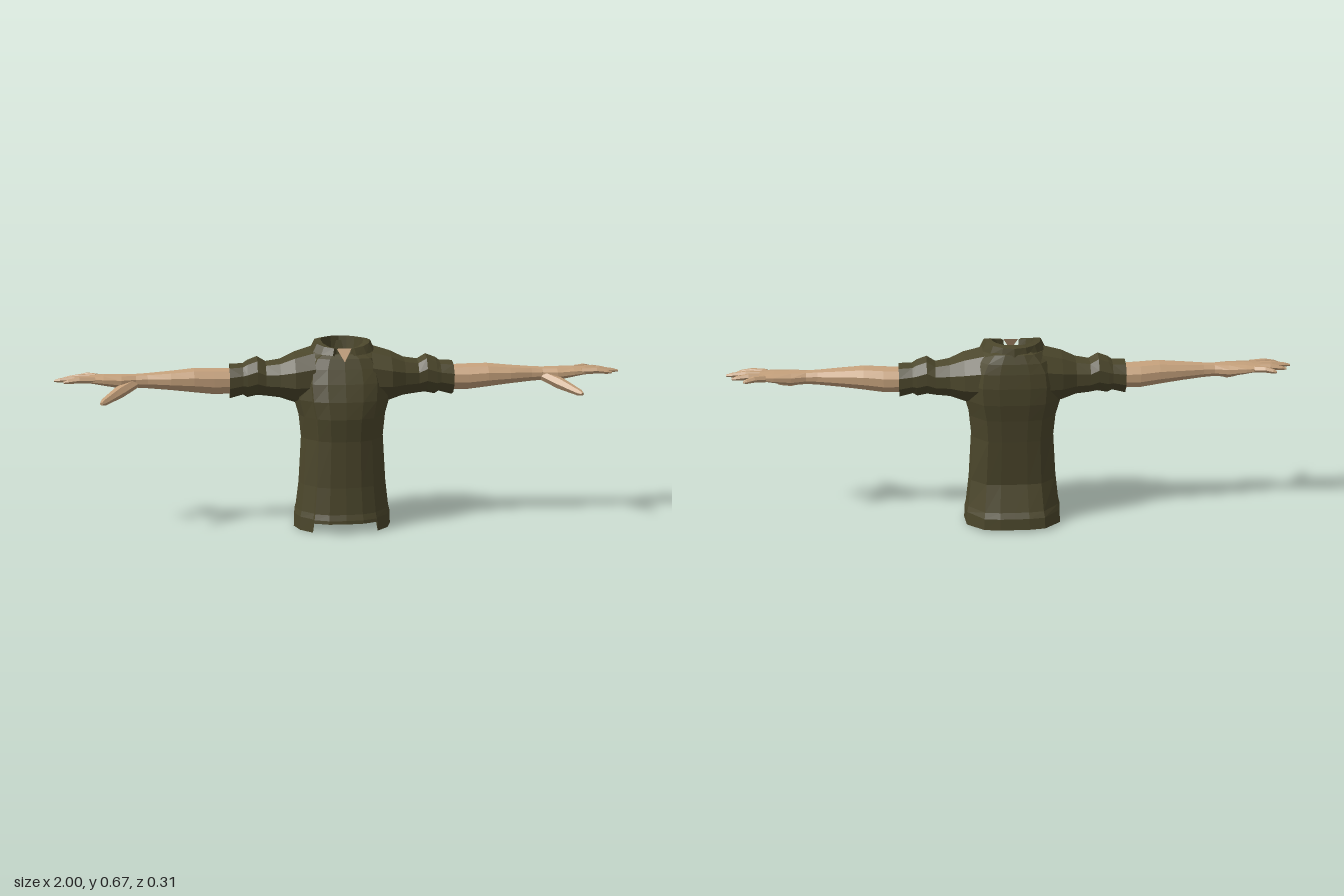
import * as THREE from 'three';

const V = (x, y, z) => new THREE.Vector3(x, y, z);

// Closed, flat-shaded skin over a list of equal-length rings, capped at both ends.
function loft(rings) {
  const n = rings[0].length, tris = [];
  for (let i = 0; i < rings.length - 1; i++) {
    for (let j = 0; j < n; j++) {
      const k = (j + 1) % n;
      const a = rings[i][j], b = rings[i][k], c = rings[i + 1][k], d = rings[i + 1][j];
      tris.push([a, b, c], [a, c, d]);
    }
  }
  const centre = r => r.reduce((s, p) => s.add(p), V(0, 0, 0)).divideScalar(n);
  const first = rings[0], last = rings[rings.length - 1];
  const c0 = centre(first), c1 = centre(last);
  for (let j = 0; j < n; j++) {
    const k = (j + 1) % n;
    tris.push([c0, first[k], first[j]], [c1, last[j], last[k]]);
  }
  // turn the faces outward whichever way the rings run
  let volume = 0;
  for (const [a, b, c] of tris) volume += a.dot(b.clone().cross(c));
  const pts = tris.flatMap(([a, b, c]) => (volume < 0 ? [a, c, b] : [a, b, c]));
  const g = new THREE.BufferGeometry().setFromPoints(pts);
  g.computeVertexNormals();
  return g;
}

// Limb along x: rows are [x, yLow, yHigh, zBack, zFront]; s is the side (+1 left, -1 right).
function limb(rows, sides, s) {
  return loft(rows.map(([x, y0, y1, z0, z1]) => Array.from({ length: sides }, (_, j) => {
    const a = ((j + 0.5) / sides) * Math.PI * 2;
    return V(s * x, (y0 + y1) / 2 + Math.sin(a) * (y1 - y0) / 2 * 1.04,
      (z0 + z1) / 2 + Math.cos(a) * (z1 - z0) / 2 * 1.04);
  })));
}

// Finger along a path of [x, y, z, radius].
function finger(path, s) {
  const p = path.map(([x, y, z]) => V(s * x, y, z));
  return loft(path.map(([, , , r], i) => {
    const d = p[Math.min(i + 1, p.length - 1)].clone().sub(p[Math.max(i - 1, 0)]).normalize();
    const side = d.clone().cross(V(0, 1, 0)).normalize();
    const up = side.clone().cross(d);
    return Array.from({ length: 6 }, (_, j) => {
      const a = (j / 6) * Math.PI * 2;
      return p[i].clone().addScaledVector(side, Math.cos(a) * r).addScaledVector(up, Math.sin(a) * r * 0.9);
    });
  }));
}

// Half outline of the body, front centre to back centre; the step is the front panel seam.
const HALF = [[0, 1], [0.35, 0.97], [0.64, 0.83], [0.66, 0.75], [0.9, 0.45], [1, 0.05],
  [0.96, -0.45], [0.62, -0.94], [0.3, -1], [0, -1]];
const OUTLINE = [...HALF, ...HALF.slice(1, -1).reverse().map(([x, z]) => [-x, z])];

function bodyRing([y, w, zf, zb, tilt = 0], hem = false) {
  return OUTLINE.map(([x, z]) => {
    const frontPanel = z > 0.8;
    const yy = hem ? (frontPanel ? 0.038 : z < -0.5 ? 0.01 : 0.002) : y - tilt * z;
    return V(x * w, yy, z * (z > 0 ? zf : zb));
  });
}

function torso() {
  const rows = [
    [0.07, 0.168, 0.14, 0.137], [0.165, 0.157, 0.132, 0.107], [0.33, 0.147, 0.132, 0.123],
    [0.41, 0.155, 0.142, 0.133], [0.47, 0.172, 0.137, 0.144], [0.53, 0.178, 0.12, 0.147],
    [0.58, 0.17, 0.1, 0.143], [0.615, 0.145, 0.085, 0.136], [0.637, 0.108, 0.07, 0.125, 0.008],
    [0.643, 0.073, 0.06, 0.1, 0.014], [0.595, 0.064, 0.05, 0.09],
  ];
  return loft([
    bodyRing([0.045, 0.168, 0.138, 0.142]),
    bodyRing([0, 0.175, 0.148, 0.152], true),
    bodyRing([0.05, 0.173, 0.147, 0.149]),
    ...rows.map(r => bodyRing(r)),
  ]);
}

// Folded collar, open at the front.
function collar() {
  const rings = [], steps = 14;
  for (let i = 0; i <= steps; i++) {
    const a = (-1 + (2 * i) / steps) * 2.78;
    const c = -Math.cos(a), s = Math.sin(a);
    const front = Math.max(0, c);
    const point = (rx, zf, zb, y) => V(s * rx, y, c * (c > 0 ? zf : zb));
    rings.push([
      point(0.07, 0.062, 0.1, 0.625 - 0.005 * front),
      point(0.076, 0.068, 0.104, 0.674 - 0.026 * front),
      point(0.1, 0.08, 0.124, 0.672 - 0.022 * front - 0.004 * Math.max(0, -c)),
      point(0.116, 0.091, 0.128, 0.638 - 0.012 * front),
    ]);
  }
  return loft(rings);
}

const SLEEVE = [
  [0.1, 0.45, 0.648, -0.13, 0.09], [0.17, 0.455, 0.628, -0.108, 0.088], [0.22, 0.472, 0.605, -0.083, 0.066],
  [0.27, 0.478, 0.597, -0.077, 0.052], [0.3, 0.482, 0.615, -0.074, 0.054], [0.335, 0.475, 0.602, -0.069, 0.052],
  [0.35, 0.484, 0.592, -0.066, 0.05], [0.397, 0.472, 0.59, -0.065, 0.051], [0.385, 0.486, 0.578, -0.055, 0.042],
];
const ARM = [
  [0.37, 0.489, 0.575, -0.055, 0.042], [0.45, 0.488, 0.578, -0.054, 0.05], [0.52, 0.497, 0.58, -0.045, 0.055],
  [0.6, 0.507, 0.573, -0.032, 0.052], [0.68, 0.515, 0.567, -0.018, 0.042], [0.72, 0.518, 0.565, -0.016, 0.042],
  [0.77, 0.516, 0.566, -0.028, 0.058], [0.83, 0.528, 0.566, -0.037, 0.062], [0.88, 0.538, 0.563, -0.04, 0.06],
];
// Fingers: base z, tip x, tip z
const FINGERS = { indexFinger: [0.047, 0.965, 0.066], middleFinger: [0.022, 1.0, 0.027],
  ringFinger: [-0.005, 0.975, -0.018], littleFinger: [-0.029, 0.93, -0.062] };
const THUMB = [[0.725, 0.535, 0.025, 0.02], [0.775, 0.513, 0.07, 0.023], [0.808, 0.498, 0.112, 0.017],
  [0.828, 0.489, 0.14, 0.013], [0.834, 0.487, 0.154, 0.006]];

export function createModel() {
  const cloth = new THREE.MeshStandardMaterial({ color: 0x4b462b });
  cloth.name = 'olive cloth';
  const skin = new THREE.MeshStandardMaterial({ color: 0xc4a07b, side: THREE.DoubleSide });
  skin.name = 'skin';

  const model = new THREE.Group();
  model.name = 'shirtAndArms';
  const add = (parent, name, geometry, material) => {
    const mesh = new THREE.Mesh(geometry, material);
    mesh.name = name;
    parent.add(mesh);
  };

  add(model, 'shirtBody', torso(), cloth);
  add(model, 'collar', collar(), cloth);

  // bare skin at the open neck
  const chest = new THREE.BufferGeometry().setFromPoints(
    [V(-0.026, 0.65, 0.071), V(0, 0.605, 0.094), V(0.026, 0.65, 0.071)]);
  chest.computeVertexNormals();
  add(model, 'neckOpening', chest, skin);

  for (const [side, s] of [['left', 1], ['right', -1]]) {
    add(model, side + 'Sleeve', limb(SLEEVE, 10, s), cloth);
    add(model, side + 'Arm', limb(ARM, 10, s), skin);
    const hand = new THREE.Group();
    hand.name = side + 'Fingers';
    model.add(hand);
    for (const [name, [z0, x1, z1]] of Object.entries(FINGERS)) {
      const at = (t, y, r) => [0.86 + (x1 - 0.86) * t, y, z0 + (z1 - z0) * t, r];
      add(hand, name, finger([at(0, 0.551, 0.014), at(0.5, 0.554, 0.0125), at(0.85, 0.55, 0.009), at(1, 0.548, 0.004)], s), skin);
    }
    add(hand, 'thumb', finger(THUMB, s), skin);
  }
  return model;
}
